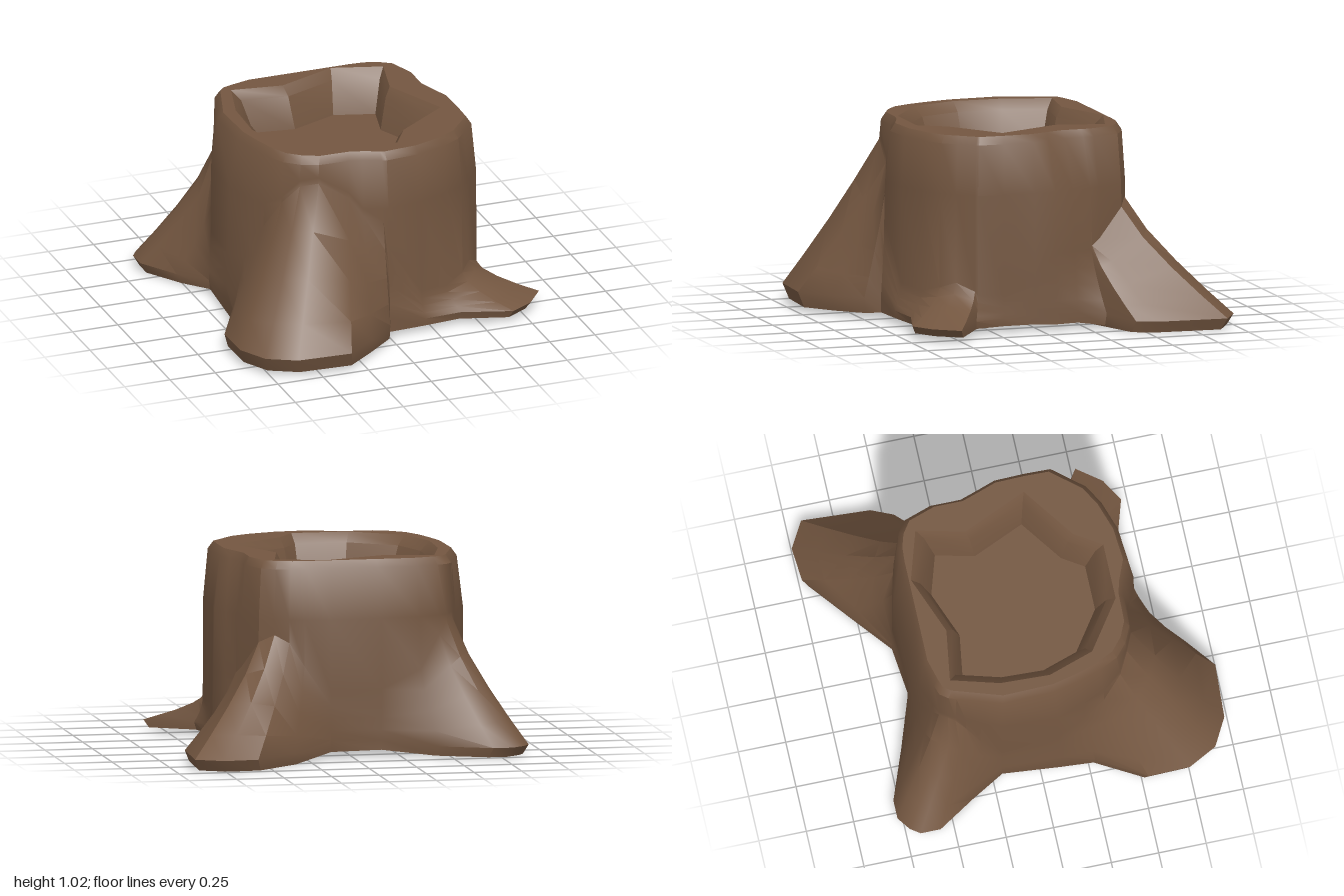
import * as THREE from 'three';
import { toCreasedNormals } from 'three/addons/utils/BufferGeometryUtils.js';

// Outlines as [x, z], running from +x towards +z or starting at the back left
const RIM = [[-.53, -.49], [-.37, -.545], [.3, -.545], [.45, -.5], [.51, -.33], [.51, -.16], [.58, .04], [.58, .32],
  [.43, .5], [.24, .59], [0, .61], [-.16, .545], [-.39, .54], [-.53, .42], [-.62, .13], [-.63, -.18]];
const BELLY = [[-.53, -.49], [-.37, -.57], [-.16, -.585], [.03, -.63], [.3, -.57], [.47, -.5], [.55, -.32], [.63, -.08],
  [.61, .05], [.6, .34], [.45, .51], [.24, .61], [0, .64], [-.16, .58], [-.39, .56], [-.55, .44], [-.67, .13], [-.7, -.04], [-.65, -.24]];
const LIP = [[-.46, -.43], [-.19, -.39], [.12, -.51], [.38, -.43], [.32, -.18], [.47, .16], [.19, .36], [.1, .5],
  [-.2, .5], [-.46, .32], [-.54, .08], [-.53, -.18]];

// Root feet: [x, z, height where the column meets the trunk]
const ROOTS = [
  { y: .03, edge: .04, power: 1.8, feet: [[.61, .03, .3], [.61, .2, .2], [.64, .36, .2], [.875, .52, .22], [.78, .645, .26],
    [.66, .715, .23], [.4, .635, .2], [.2, .65, .22]] },
  { y: .025, edge: .08, power: 1.15, feet: [[0, .66, .5], [-.03, .74, .65], [-.18, .87, .68], [-.34, .995, .78], [-.63, .98, .88],
    [-.78, .9, .86], [-.86, .75, .76], [-.865, .53, .6], [-.72, .28, .5], [-.7, .1, .45]] },
  { y: .005, edge: .05, power: 1.25, feet: [[-.67, -.2, .35], [-.78, -.38, .45], [-.905, -.575, .6], [-.905, -.68, .68], [-.87, -.73, .7],
    [-.8, -.78, .68], [-.7, -.78, .62], [-.43, -.68, .45], [-.15, -.58, .35]] },
  { y: 0, edge: .06, power: 1.25, feet: [[.12, -.61, .35], [.35, -.8, .48], [.58, -.985, .6], [.76, -1, .64], [.9, -.92, .6],
    [.88, -.56, .45], [.83, -.445, .42], [.655, -.345, .4], [.62, -.2, .4], [.64, -.08, .4]] },
];

// Distance from the centre to an outline in direction a
function radiusAt(outline, a) {
  const dx = Math.cos(a), dz = Math.sin(a);
  for (let i = 0; i < outline.length; i++) {
    const [x1, z1] = outline[i], [x2, z2] = outline[(i + 1) % outline.length];
    const s1 = dx * z1 - dz * x1, s2 = dx * z2 - dz * x2;
    if (s1 <= 0 && s2 > 0) {
      const t = s1 / (s1 - s2);
      return (x1 + (x2 - x1) * t) * dx + (z1 + (z2 - z1) * t) * dz;
    }
  }
  return .6;
}

// Skin closed rings of [x, y, z] points
function loft(rows, crease) {
  const n = rows[0].length, index = [];
  for (let r = 0; r < rows.length - 1; r++) {
    for (let i = 0; i < n; i++) {
      const j = (i + 1) % n, a = r * n + i, d = r * n + j;
      index.push(a, a + n, d + n, a, d + n, d);
    }
  }
  const g = new THREE.BufferGeometry();
  g.setAttribute('position', new THREE.Float32BufferAttribute(rows.flat(2), 3));
  g.setIndex(index);
  return toCreasedNormals(g, crease);
}

const ring = (outline, scale, y) => outline.map(([x, z]) => [x * scale, y, z * scale]);

// One vertical column of skin: sole, foot edge, root slope, trunk, rim
function column([x, z, join], { y, edge, power }) {
  const a = Math.atan2(z, x), foot = Math.hypot(x, z);
  const belly = radiusAt(BELLY, a), rim = radiusAt(RIM, a);
  const trunk = (h) => belly + (rim - belly) * THREE.MathUtils.clamp((h - .7) / .28, 0, 1);
  const at = (r, h) => [Math.cos(a) * r, h, Math.sin(a) * r];
  const reach = THREE.MathUtils.smoothstep(foot, .62, .85);
  const sole = THREE.MathUtils.lerp(.035, y, reach), low = sole + edge;
  const points = [at(0, .035), at(foot * (1 - .03 * reach), sole)];
  for (const t of [0, .2, .45, .72, 1]) {
    const h = low + (join - low) * t, r = trunk(h);
    points.push(at(r + (foot - r) * (1 - t) ** power, h));
  }
  const mid = Math.max(.72, join + .03);
  points.push(at(trunk(mid), mid), at(rim, .98), at(rim * .955, 1.02));
  return points;
}

export function createModel() {
  const group = new THREE.Group();
  group.name = 'treeStump';
  const bark = new THREE.MeshStandardMaterial({ color: 0x735640 });
  const add = (name, geometry) => {
    const mesh = new THREE.Mesh(geometry, bark);
    mesh.name = name;
    group.add(mesh);
  };

  // Trunk and roots as one skin
  const columns = ROOTS.flatMap((root) => root.feet.map((f) => column(f, root)));
  const rows = columns[0].map((_, r) => columns.map((c) => c[r]));
  add('trunkAndRoots', loft(rows, .6));

  // Flat top of the rim around the hollow
  const flat = (pts) => pts.map(([x, , z]) => new THREE.Vector2(x, -z));
  const shape = new THREE.Shape(flat(rows[rows.length - 1]));
  shape.holes.push(new THREE.Path(flat(ring(LIP, 1, 0))));
  add('rim', new THREE.ShapeGeometry(shape).rotateX(-Math.PI / 2).translate(0, 1.02, 0));

  // Hollow with sloped lip, wall and floor
  add('hollow', loft([ring(LIP, 1, 1.02), ring(LIP, .91, .97), ring(LIP, .8, .8), ring(LIP, 0, .8)], .5));
  return group;
}
